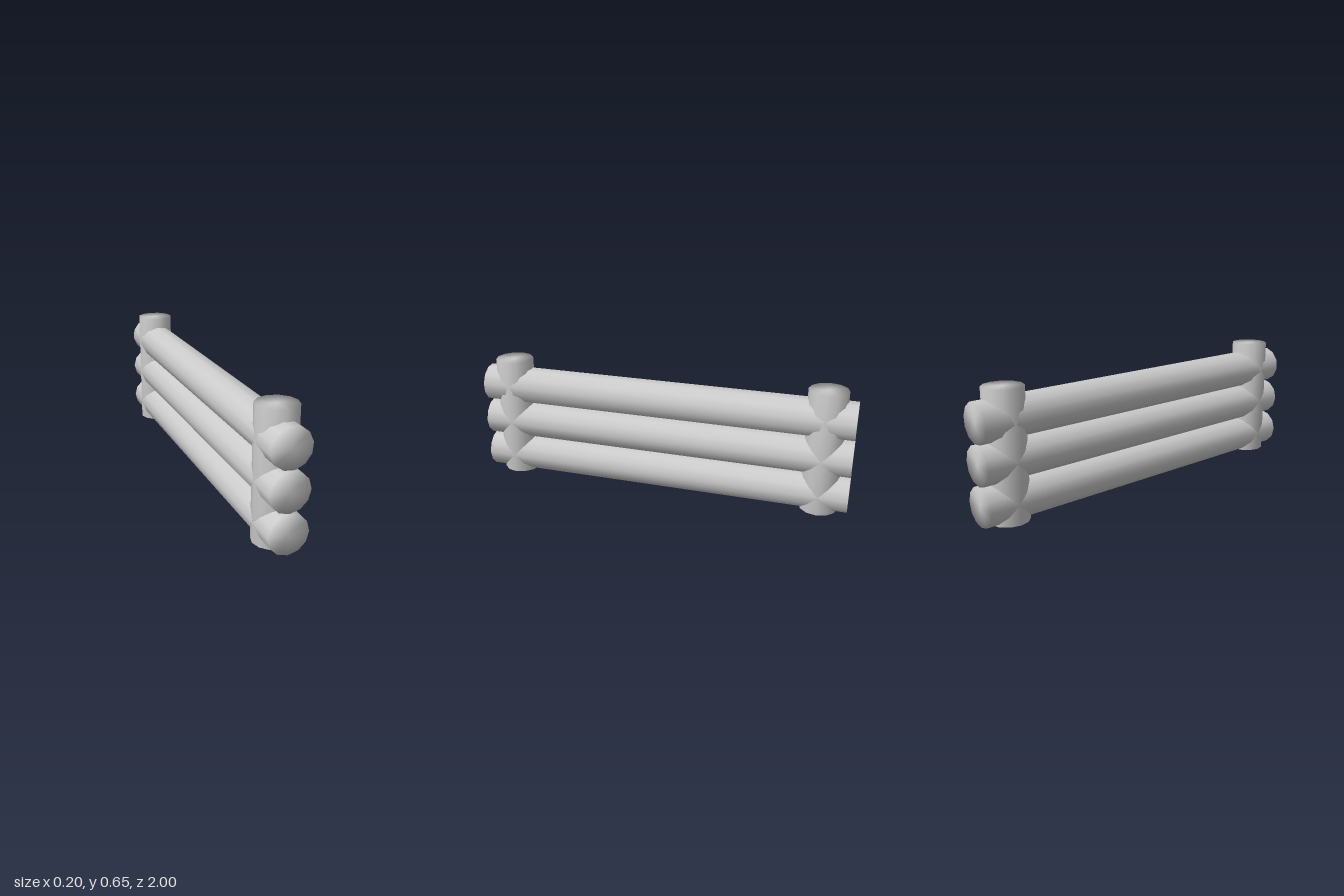
import * as THREE from 'three';
import { mergeVertices } from 'three/addons/utils/BufferGeometryUtils.js';

const RADIUS = 0.1;
const LOG_LENGTH = 2;
const POST_HEIGHT = 0.65;
const POST_Z = 0.85;

// Twelve-sided pole whose caps share smooth normals with its side
function poleGeometry(length) {
  const geometry = new THREE.CylinderGeometry(RADIUS, RADIUS, length, 12);
  geometry.deleteAttribute('normal');
  geometry.deleteAttribute('uv');
  const welded = mergeVertices(geometry, 1e-4);
  welded.computeVertexNormals();
  return welded;
}

export function createModel() {
  const group = new THREE.Group();
  group.name = 'logFence';
  const material = new THREE.MeshStandardMaterial({ color: 0xcccccc });

  const add = (name, geometry, y, z) => {
    const mesh = new THREE.Mesh(geometry, material);
    mesh.name = name;
    mesh.position.set(0, y, z);
    group.add(mesh);
    return mesh;
  };

  // Three stacked logs; the top one is rolled slightly
  const logGeometry = poleGeometry(LOG_LENGTH).rotateX(Math.PI / 2);
  ['bottomLog', 'middleLog', 'topLog'].forEach((name, i) => {
    const log = add(name, logGeometry, RADIUS * (2 * i + 1), 0);
    if (name === 'topLog') log.rotation.z = 0.17;
  });

  // Upright posts through both ends
  const postGeometry = poleGeometry(POST_HEIGHT);
  add('frontPost', postGeometry, POST_HEIGHT / 2, POST_Z);
  add('backPost', postGeometry, POST_HEIGHT / 2, -POST_Z);

  return group;
}
